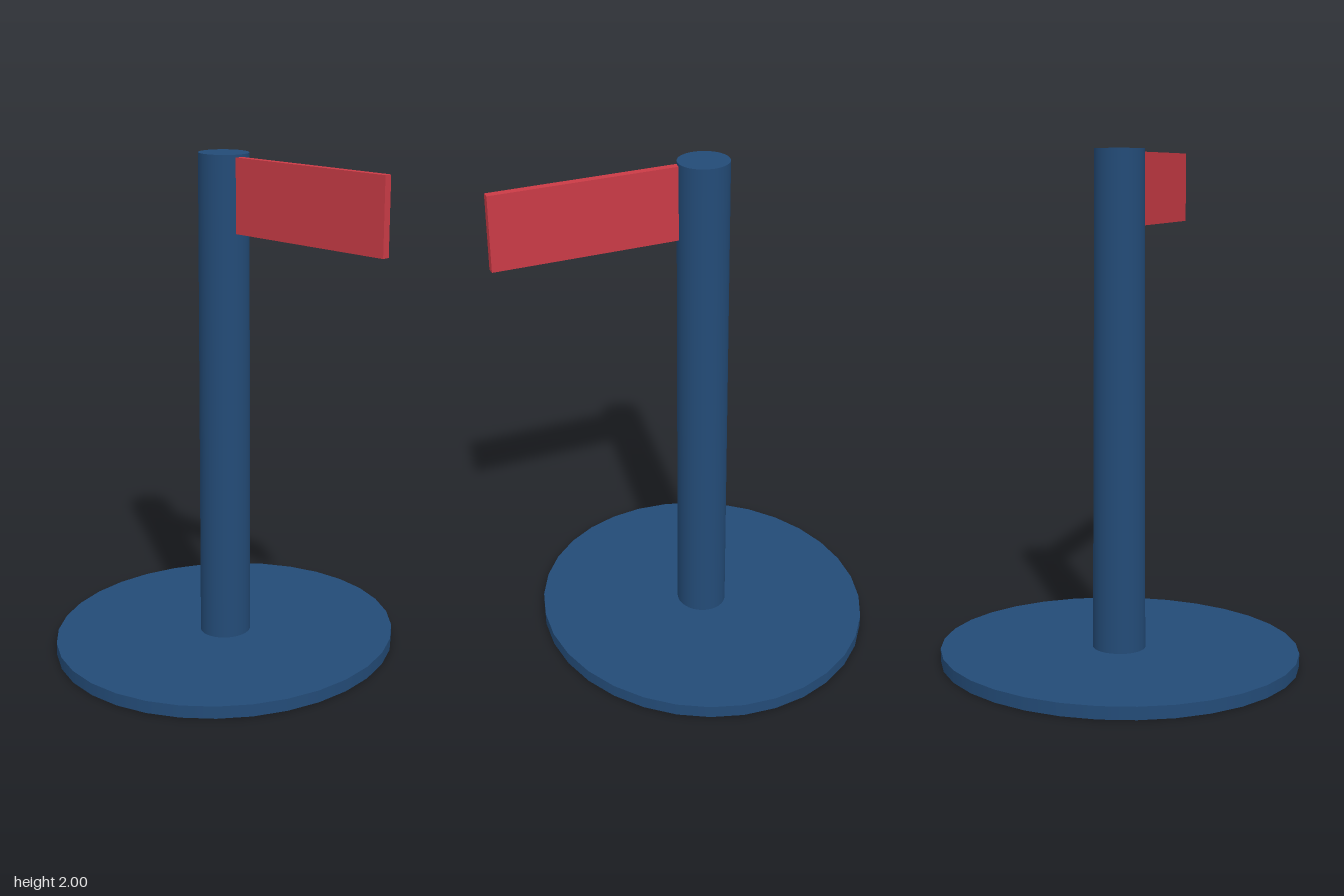
import * as THREE from 'three';

export function createModel() {
  const group = new THREE.Group();
  const blue = new THREE.MeshStandardMaterial({ name: 'navy blue', color: 0x234b77 });
  const red = new THREE.MeshStandardMaterial({ name: 'red', color: 0xca3b46 });
  const centreX = -0.075;

  const add = (name, geometry, material, x, y, z) => {
    const mesh = new THREE.Mesh(geometry, material);
    mesh.name = name;
    mesh.position.set(x, y, z);
    group.add(mesh);
  };

  // Flat, slightly oval foot
  const base = new THREE.CylinderGeometry(1, 1, 0.05, 32);
  base.scale(0.663, 1, 0.714);
  add('base', base, blue, centreX, 0.025, 0);

  // Post, tapering only from front to back and leaning slightly forward
  const height = 1.95;
  const post = new THREE.CylinderGeometry(0.099, 0.099, height, 32);
  const p = post.attributes.position;
  for (let i = 0; i < p.count; i++) {
    const t = p.getY(i) / height + 0.5;
    const depth = THREE.MathUtils.lerp(1.06, 0.96, t);
    p.setZ(i, p.getZ(i) * depth + 0.003 * t);
  }
  add('post', post, blue, centreX, 0.05 + height / 2, 0);

  // Belt strip reaching out from the top of the post
  add('belt', new THREE.BoxGeometry(0.735, 0.286, 0.03), red, 0.3695, 1.847, 0.017);

  return group;
}
